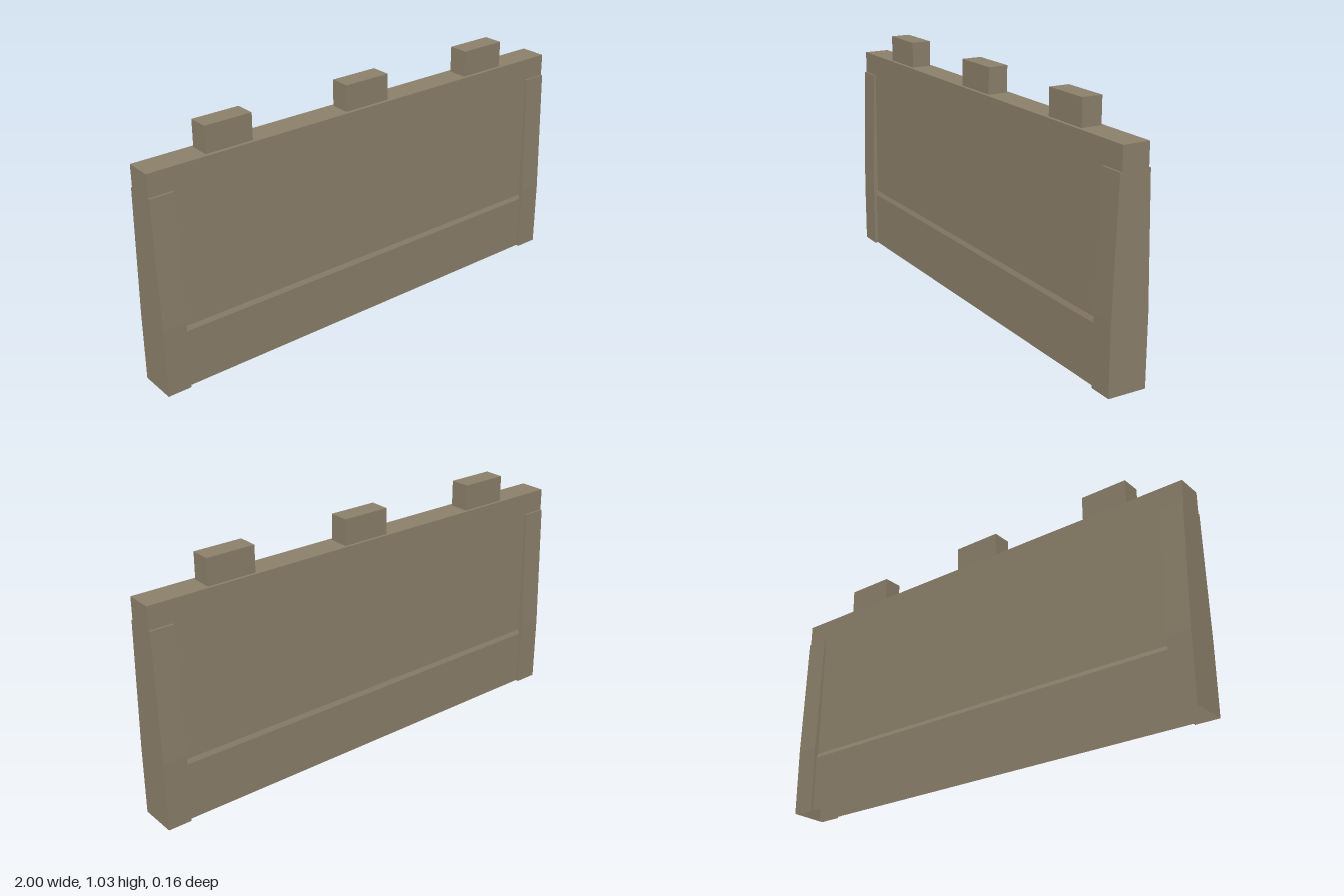
import * as THREE from 'three';

// Prism along x built from rows of [y, back z, front z]; the base is left open
function shell(x0, x1, rows) {
  const pos = [];
  const quad = (a, b, c, d) => pos.push(...a, ...b, ...c, ...a, ...c, ...d);
  for (let i = 0; i < rows.length - 1; i++) {
    const [ya, ba, fa] = rows[i];
    const [yb, bb, fb] = rows[i + 1];
    quad([x0, ya, fa], [x1, ya, fa], [x1, yb, fb], [x0, yb, fb]); // front
    quad([x1, ya, ba], [x0, ya, ba], [x0, yb, bb], [x1, yb, bb]); // back
    quad([x1, ya, fa], [x1, ya, ba], [x1, yb, bb], [x1, yb, fb]); // +x end
    quad([x0, ya, ba], [x0, ya, fa], [x0, yb, fb], [x0, yb, bb]); // -x end
  }
  const [y, b, f] = rows[rows.length - 1];
  quad([x0, y, f], [x1, y, f], [x1, y, b], [x0, y, b]); // top
  const geo = new THREE.BufferGeometry();
  geo.setAttribute('position', new THREE.Float32BufferAttribute(pos, 3));
  geo.computeVertexNormals();
  return geo;
}

export function createModel() {
  const model = new THREE.Group();
  model.name = 'battlementWall';
  const stone = new THREE.MeshStandardMaterial({ color: 0x8c806b, side: THREE.DoubleSide });
  stone.name = 'stone';

  const add = (name, geo) => {
    const mesh = new THREE.Mesh(geo, stone);
    mesh.name = name;
    model.add(mesh);
    return mesh;
  };

  // Tapered wall with a thicker plinth and a sloped ledge
  const wall = [[0, 0.068], [0.243, 0.068], [0.262, 0.061], [0.92, 0.056]];
  add('wall', shell(-1, 1, wall.map(([y, z]) => [y, -z, z])));

  // Pilasters at both ends, on the front and the back
  const pilaster = [
    [0, 0.068, 0.081], [0.243, 0.068, 0.081], [0.262, 0.061, 0.081],
    [0.29, 0.0608, 0.081], [0.826, 0.0567, 0.064],
  ];
  for (const [x0, x1] of [[-1, -0.9], [0.9, 1]]) {
    const geo = shell(x0, x1, pilaster);
    add('frontPilaster', geo);
    add('backPilaster', geo).rotation.y = Math.PI;
  }

  // Merlons along the top
  for (const [x0, x1] of [[-0.747, -0.543], [-0.1, 0.109], [0.535, 0.742]]) {
    add('merlon', shell(x0, x1, [[0.92, -0.044, 0.041], [1.03, -0.044, 0.041]]));
  }
  return model;
}
